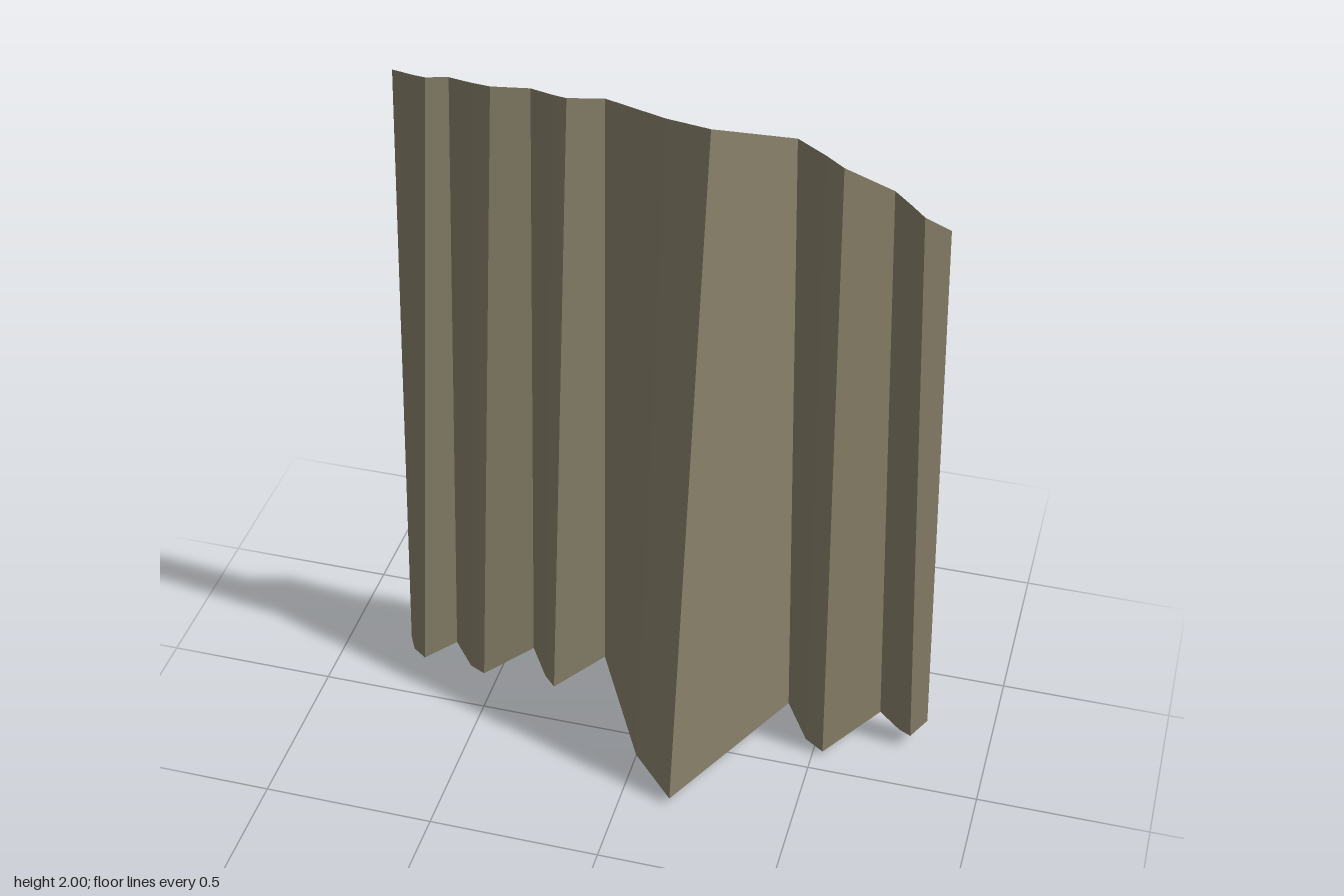
import * as THREE from 'three';

// One entry per fold line: [topX, topY, topZ, hemX, hemY, hemZ]
const folds = [
  [-0.757, 2, -0.254, -0.81, 0.01, -0.23],
  [-0.69, 2, -0.24, -0.785, 0.007, -0.184],
  [-0.66, 2, -0.237, -0.742, 0.003, -0.157],
  [-0.60, 2, -0.254, -0.67, 0, -0.254],
  [-0.535, 2, -0.242, -0.592, 0.005, -0.157],
  [-0.48, 2, -0.236, -0.54, 0.012, -0.127],
  [-0.375, 2, -0.254, -0.42, 0.034, -0.254],
  [-0.31, 2, -0.237, -0.345, 0.044, -0.132],
  [-0.27, 2, -0.23, -0.305, 0.047, -0.09],
  [-0.173, 2, -0.254, -0.192, 0.052, -0.254],
  [0.005, 2, -0.197, 0.01, 0.041, 0.122],
  [0.13, 2, -0.175, 0.145, 0.022, 0.252],
  [0.34, 1.96, -0.254, 0.385, 0, -0.254],
  [0.42, 1.935, -0.232, 0.47, 0.007, -0.108],
  [0.47, 1.91, -0.225, 0.53, 0.014, -0.062],
  [0.60, 1.845, -0.254, 0.665, 0.033, -0.254],
  [0.65, 1.815, -0.242, 0.735, 0.042, -0.184],
  [0.685, 1.79, -0.236, 0.772, 0.046, -0.162],
  [0.754, 1.75, -0.254, 0.81, 0.052, -0.232],
];

export function createModel() {
  const group = new THREE.Group();
  group.name = 'hangingCloth';

  const cloth = new THREE.MeshStandardMaterial({ color: 0x8a826b, side: THREE.DoubleSide });
  cloth.name = 'drab cloth';

  // Each panel between two folds is a twisted quad shaded with one normal
  const positions = [], normals = [];
  for (let i = 0; i < folds.length - 1; i++) {
    const [topA, hemA, topB, hemB] = [folds[i], folds[i + 1]].flatMap((f) => [
      new THREE.Vector3(...f.slice(0, 3)),
      new THREE.Vector3(...f.slice(3)),
    ]);
    const normal = hemB.clone().sub(topA).cross(topB.clone().sub(hemA)).normalize();
    for (const corner of [topA, hemA, topB, hemA, hemB, topB]) {
      positions.push(...corner.toArray());
      normals.push(...normal.toArray());
    }
  }
  const geometry = new THREE.BufferGeometry();
  geometry.setAttribute('position', new THREE.Float32BufferAttribute(positions, 3));
  geometry.setAttribute('normal', new THREE.Float32BufferAttribute(normals, 3));

  const sheet = new THREE.Mesh(geometry, cloth);
  sheet.name = 'pleatedSheet';
  group.add(sheet);
  return group;
}
